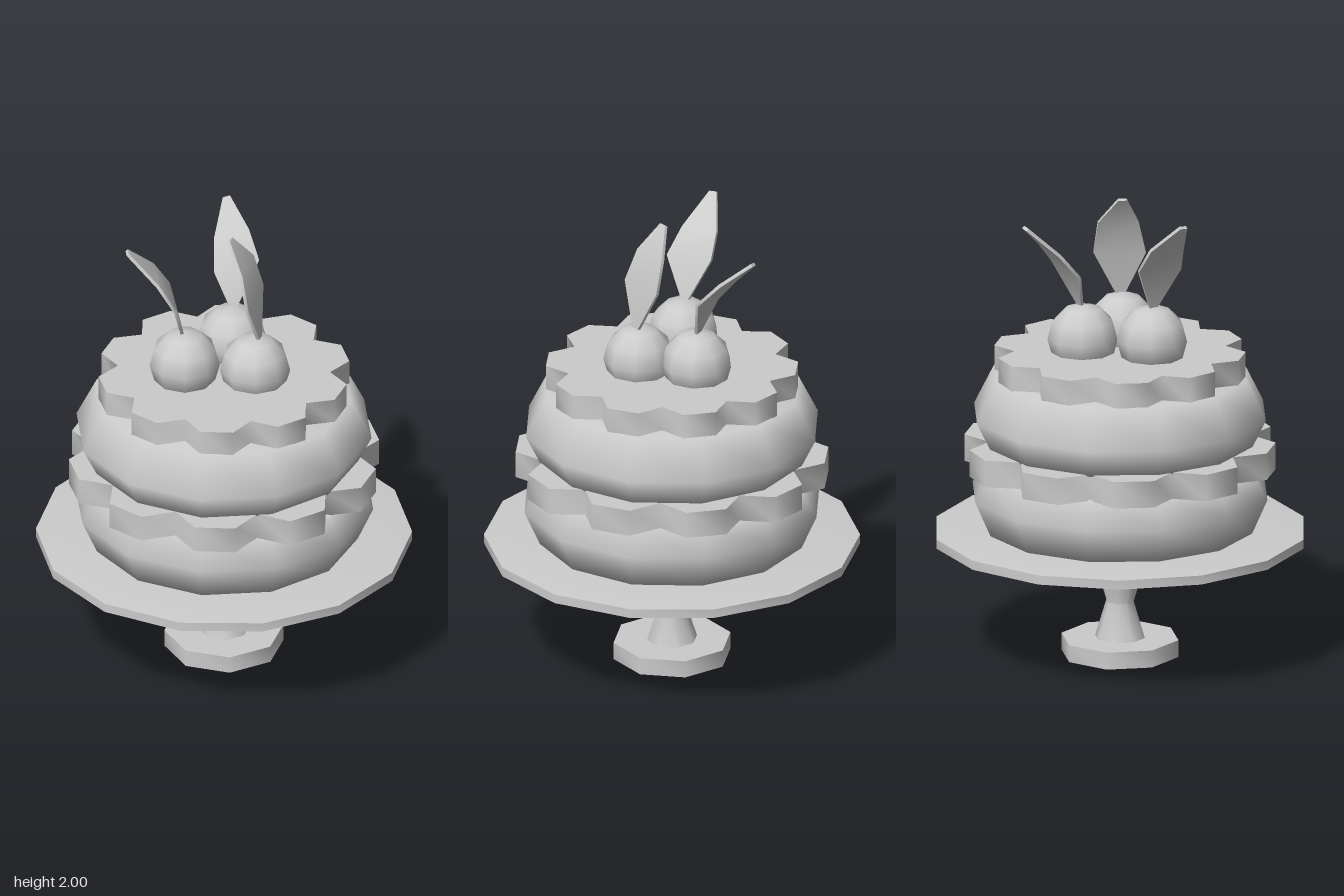
import * as THREE from 'three';
import { toCreasedNormals } from 'three/addons/utils/BufferGeometryUtils.js';

const material = new THREE.MeshStandardMaterial({ color: 0xcccccc });
const V = (p) => new THREE.Vector3(...p);

function addMesh(parent, name, geometry) {
  const mesh = new THREE.Mesh(geometry, material);
  mesh.name = name;
  parent.add(mesh);
  return mesh;
}

// Turned part from [radius, height] pairs, listed bottom to top
function turned(profile, sides, crease) {
  const points = profile.map(([r, y]) => new THREE.Vector2(r, y));
  const geo = new THREE.LatheGeometry(points, sides, Math.PI / 2);
  return crease ? toCreasedNormals(geo, crease) : geo;
}

// Slab with ten blunt lobes
function scallopedSlab(radius, notch, bottom, top) {
  const points = [];
  const half = THREE.MathUtils.degToRad(7.5);
  for (let i = 0; i < 10; i++) {
    const a = (i * Math.PI) / 5;
    for (const [da, r] of [[-half, radius], [half, radius], [Math.PI / 10, notch]]) {
      points.push(new THREE.Vector2(r * Math.cos(a + da), r * Math.sin(a + da)));
    }
  }
  const geo = new THREE.ExtrudeGeometry(new THREE.Shape(points), { depth: top - bottom, bevelEnabled: false });
  geo.rotateX(-Math.PI / 2).translate(0, bottom, 0);
  return toCreasedNormals(geo, 1.4);
}

// Thin bent leaf: a box whose rows follow base, middle, shoulder and tip
function leafGeometry(centres, side) {
  const rows = centres.map(V);
  const widths = [0.14, 1, 0.78, 0.16];
  const sideVec = V(side);
  const geo = new THREE.BoxGeometry(2, 3, 1, 1, 3, 1);
  const pos = geo.attributes.position;
  for (let i = 0; i < pos.count; i++) {
    const row = Math.round(pos.getY(i) + 1.5);
    const along = rows[Math.min(row + 1, 3)].clone().sub(rows[Math.max(row - 1, 0)]);
    const normal = sideVec.clone().cross(along).normalize();
    const p = rows[row].clone()
      .addScaledVector(sideVec, pos.getX(i) * widths[row])
      .addScaledVector(normal, pos.getZ(i) * 0.014);
    pos.setXYZ(i, p.x, p.y, p.z);
  }
  geo.computeVertexNormals();
  return geo;
}

export function createModel() {
  const model = new THREE.Group();
  model.name = 'cakeOnStand';

  // Stand
  const stand = new THREE.Group();
  stand.name = 'stand';
  model.add(stand);
  addMesh(stand, 'foot', turned([[0, 0], [0.255, 0], [0.255, 0.075], [0, 0.075]], 8, 0.85));
  addMesh(stand, 'stem', turned([[0.11, 0.07], [0.06, 0.235], [0.12, 0.44]], 8, 0.85));
  addMesh(stand, 'plate', turned(
    [[0, 0.43], [0.11, 0.43], [0.57, 0.515], [0.8, 0.515], [0.8, 0.555], [0.68, 0.568], [0, 0.568]], 14, 0.7));

  // Cake layers
  const cake = new THREE.Group();
  cake.name = 'cake';
  model.add(cake);
  addMesh(cake, 'lowerSponge', turned([[0, 0.56], [0.575, 0.565], [0.643, 0.72], [0.57, 0.84], [0, 0.84]], 12));
  addMesh(cake, 'middleCream', scallopedSlab(0.665, 0.56, 0.835, 0.952));
  addMesh(cake, 'upperSponge', turned([[0, 0.945], [0.575, 0.945], [0.636, 1.07], [0.55, 1.242], [0, 1.242]], 12));
  addMesh(cake, 'topCream', scallopedSlab(0.537, 0.452, 1.24, 1.35));

  // Fruits, each with a leaf given by its centre line and half-width vector
  const fruits = [
    {
      name: 'front', centre: [0.025, 1.405, 0.15],
      leaf: [[0.037, 1.54, 0.165], [0.034, 1.735, 0.14], [0.03, 1.88, 0.1], [-0.003, 2, 0.035]],
      side: [0.104, 0.005, -0.045],
    },
    {
      name: 'right', centre: [-0.16, 1.425, -0.085],
      leaf: [[-0.165, 1.565, -0.095], [-0.2, 1.745, -0.122], [-0.245, 1.855, -0.178], [-0.335, 1.98, -0.257]],
      side: [0.073, 0.01, -0.08],
    },
    {
      name: 'left', centre: [0.145, 1.41, -0.075],
      leaf: [[0.155, 1.55, -0.075], [0.212, 1.72, -0.105], [0.268, 1.825, -0.18], [0.35, 1.937, -0.275]],
      side: [0.075, 0.02, 0.062],
    },
  ];
  for (const { name, centre, leaf, side } of fruits) {
    const group = new THREE.Group();
    group.name = name + 'Fruit';
    model.add(group);
    addMesh(group, name + 'Berry', new THREE.SphereGeometry(0.152, 9, 6)).position.set(...centre);
    addMesh(group, name + 'Leaf', leafGeometry(leaf, side));
  }
  return model;
}
